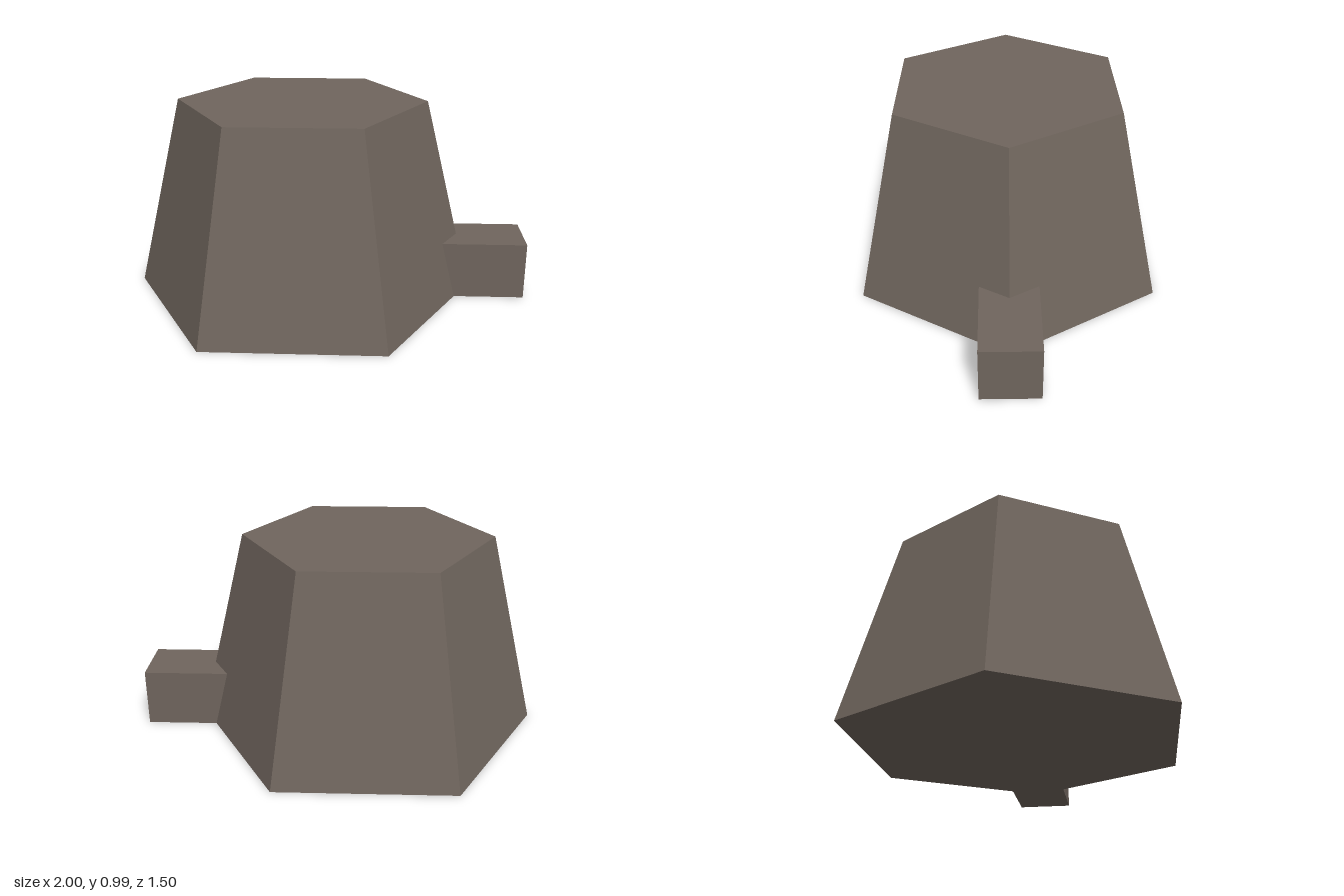
import * as THREE from 'three';

export function createModel() {
  const model = new THREE.Group();
  const stone = new THREE.MeshStandardMaterial({ color: 0x6f655d });
  stone.name = 'warm grey stone';
  stone.flatShading = true;

  const height = 0.99;
  const centreX = -0.135;

  // Tapered six-sided body with corners pointing along x
  const body = new THREE.Mesh(
    new THREE.CylinderGeometry(0.62, 0.865, height, 6, 1, false, Math.PI / 2), stone);
  body.name = 'body';
  body.position.set(centreX, height / 2, 0);
  model.add(body);

  // Low block projecting from the left corner, its inner end buried in the body
  const innerX = 0.45, outerX = 1, blockHeight = 0.29;
  const block = new THREE.Mesh(
    new THREE.BoxGeometry(outerX - innerX, blockHeight, 0.285), stone);
  block.name = 'sideBlock';
  block.position.set((innerX + outerX) / 2, blockHeight / 2, 0);
  model.add(block);

  return model;
}
